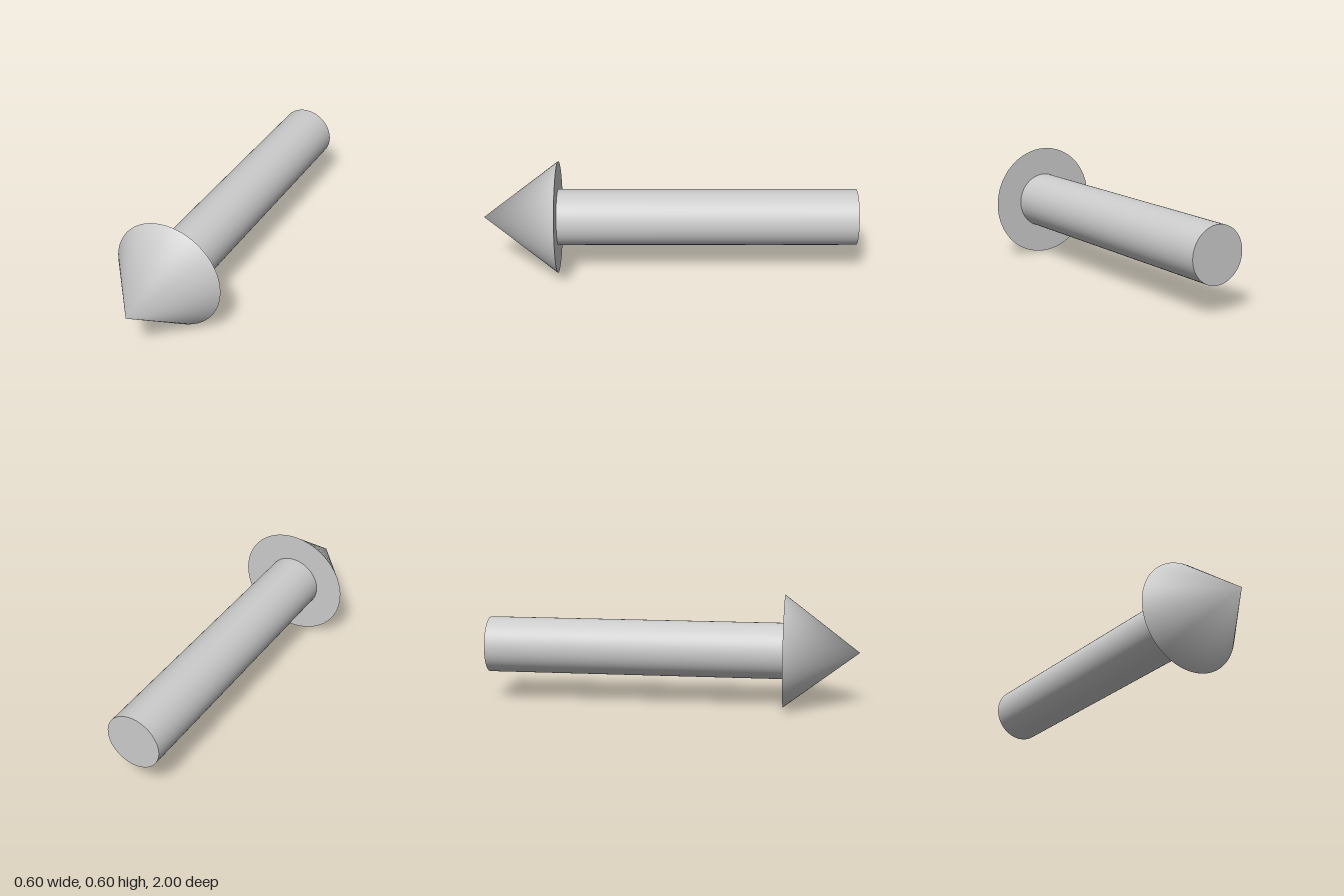
import * as THREE from 'three';

const SEGMENTS = 64;
const AXIS_Y = 0.3;

export function createModel() {
  const group = new THREE.Group();
  group.name = 'arrow';
  const material = new THREE.MeshStandardMaterial({ color: 0xcccccc });

  // Adds a part made along y, turned to point along +z and centred at the given z
  const addPart = (name, geometry, z) => {
    geometry.rotateX(Math.PI / 2);
    const mesh = new THREE.Mesh(geometry, material);
    mesh.name = name;
    mesh.position.set(0, AXIS_Y, z);
    group.add(mesh);
  };

  // Shaft: plain cylinder from the back end to the base of the head
  addPart('shaft', new THREE.CylinderGeometry(0.15, 0.15, 1.6, SEGMENTS), -0.2);

  // Head: cone whose tip normals point along the axis, for a soft, rounded shading
  const cone = new THREE.ConeGeometry(0.3, 0.4, SEGMENTS);
  const { position, normal } = cone.attributes;
  for (let i = 0; i < position.count; i++) {
    if (position.getY(i) > 0.19) normal.setXYZ(i, 0, 1, 0);
  }
  addPart('head', cone, 0.8);

  return group;
}
